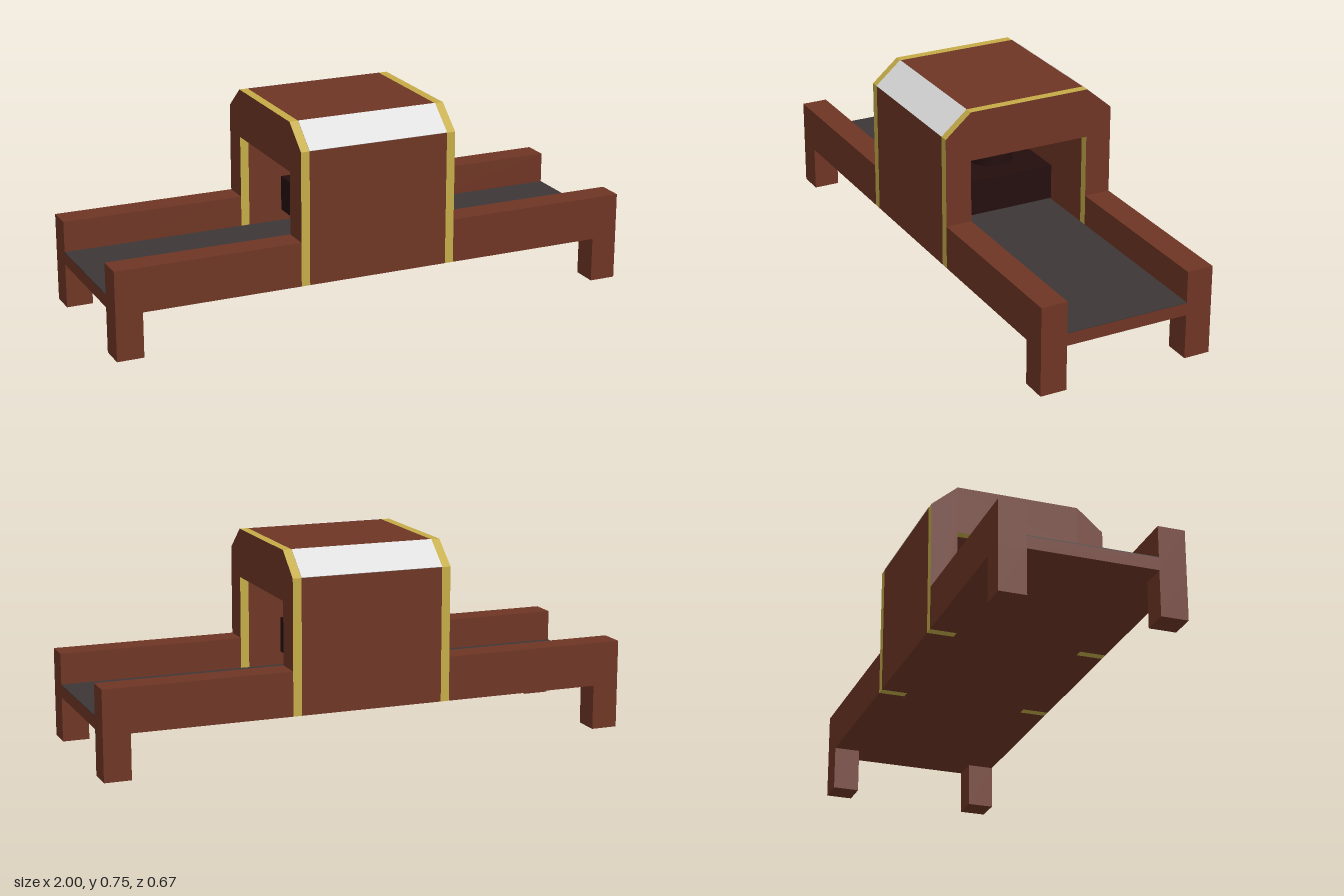
import * as THREE from 'three';

const mat = (name, color) => {
  const m = new THREE.MeshStandardMaterial({ color });
  m.name = name;
  return m;
};

export function createModel() {
  const brown = mat('rust brown', 0x6e3524);
  const yellow = mat('trim yellow', 0xc4ab47);
  const white = mat('panel white', 0xdcdcdc);
  const belt = mat('belt grey', 0x3d3736);
  const dark = mat('dark press', 0x240e0e);

  const model = new THREE.Group();
  model.name = 'conveyorMachine';

  const add = (name, geometry, material, x = 0, y = 0, z = 0) => {
    const mesh = new THREE.Mesh(geometry, material);
    mesh.name = name;
    mesh.position.set(x, y, z);
    model.add(mesh);
    return mesh;
  };
  // Box given by its minimum and maximum corners
  const box = (name, material, [x0, y0, z0], [x1, y1, z1]) =>
    add(name, new THREE.BoxGeometry(x1 - x0, y1 - y0, z1 - z0), material,
      (x0 + x1) / 2, (y0 + y1) / 2, (z0 + z1) / 2);

  const outer = 0.333, inner = 0.234, under = 0.168;
  const rim = 0.303, trim = 0.27;
  const shoulder = 0.667, roof = 0.752, ceiling = 0.568;

  // Conveyor bed with the belt surface on top
  box('bed', brown, [-1, under, -inner], [1, 0.214, inner]);
  box('beltSurface', belt, [-1, 0.214, -inner], [1, 0.217, inner]);

  // Side rails and legs, mirrored to all four corners
  for (const sx of [-1, 1]) {
    for (const sz of [-1, 1]) {
      const zc = sz * (outer + inner) / 2, w = outer - inner;
      add('sideRail', new THREE.BoxGeometry(1 - rim, 0.333 - under, w), brown,
        sx * (1 + rim) / 2, (0.333 + under) / 2, zc);
      add('leg', new THREE.BoxGeometry(0.1, under, w), brown, sx * 0.95, under / 2, zc);
    }
  }

  // Housing: an arch with chamfered shoulders, extruded along x
  const arch = new THREE.Shape([
    [-outer, under], [-inner, under], [-inner, ceiling], [inner, ceiling],
    [inner, under], [outer, under], [outer, shoulder], [inner, roof],
    [-inner, roof], [-outer, shoulder],
  ].map(([z, y]) => new THREE.Vector2(z, y)));
  const archSection = (name, x0, x1, side) => {
    const geometry = new THREE.ExtrudeGeometry(arch, { depth: x1 - x0, bevelEnabled: false });
    geometry.rotateY(Math.PI / 2);
    add(name, geometry, [brown, side], x0);
  };
  archSection('housing', -trim, trim, brown);
  archSection('housingTrimRight', -rim, -trim, yellow);
  archSection('housingTrimLeft', trim, rim, yellow);

  // White panels on the chamfers
  const run = outer - inner, rise = roof - shoulder;
  for (const s of [-1, 1]) {
    const panel = add('shoulderPanel',
      new THREE.BoxGeometry(trim * 2, 0.004, Math.hypot(run, rise)), white,
      0, (shoulder + roof) / 2, s * (outer + inner) / 2);
    panel.rotation.x = s * Math.atan2(rise, run);
  }

  // Press head hanging inside the housing
  box('pressHead', dark, [-0.167, 0.284, -0.167], [0.167, 0.416, 0.167]);
  add('pressPiston', new THREE.CylinderGeometry(0.083, 0.083, 0.083, 20), dark, 0, 0.457, 0);

  return model;
}
